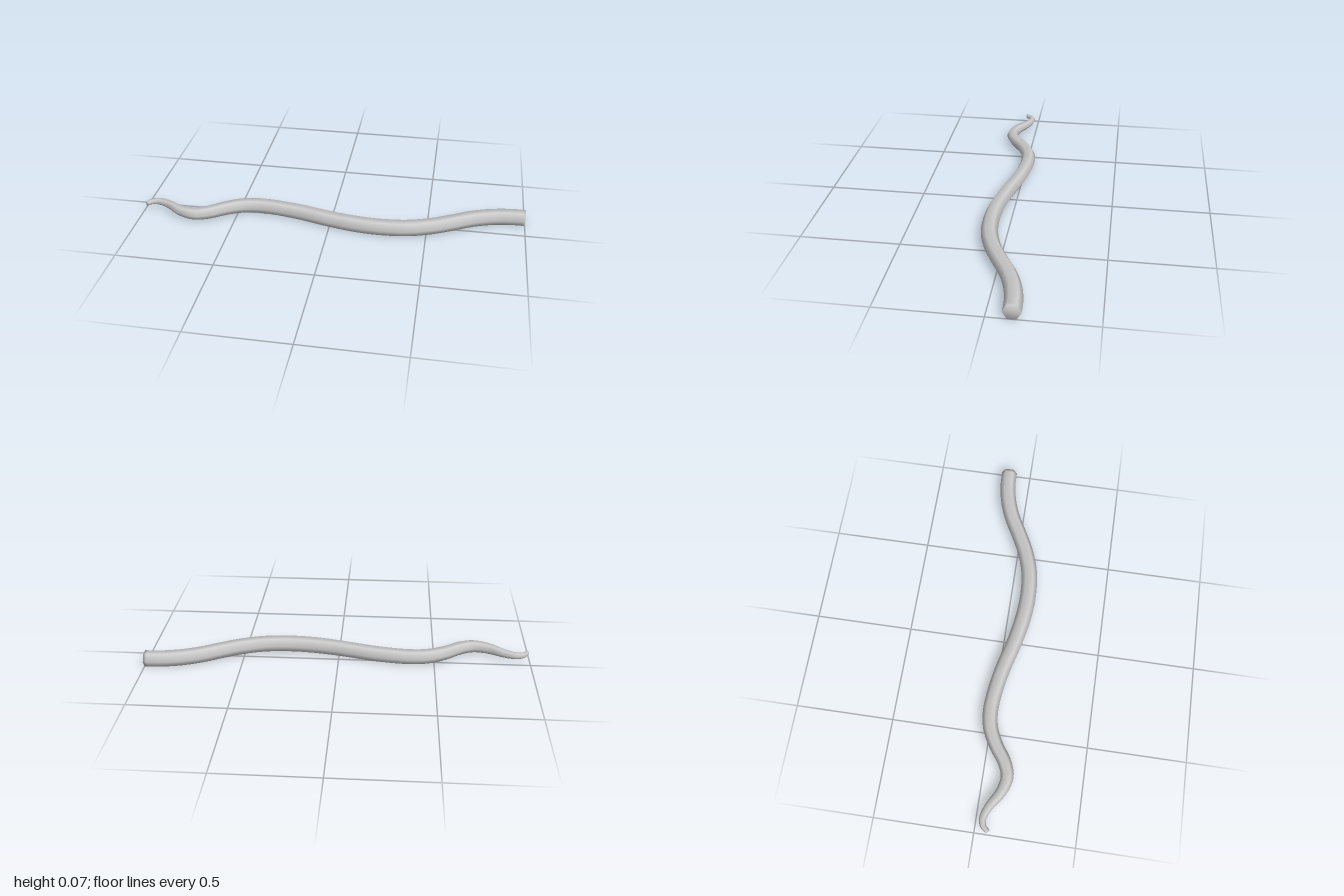
import * as THREE from 'three';

// Centre line from tip to butt: x, z, radius
const PATH = [
  [-0.988, 0.067, 0.013], [-0.965, 0.042, 0.015], [-0.93, 0.034, 0.018], [-0.87, 0.054, 0.022],
  [-0.79, 0.103, 0.028], [-0.71, 0.122, 0.032], [-0.64, 0.098, 0.034], [-0.56, 0.043, 0.036],
  [-0.47, 0.001, 0.038], [-0.37, -0.011, 0.039], [-0.2, 0.009, 0.04], [0, 0.057, 0.041],
  [0.13, 0.081, 0.042], [0.26, 0.09, 0.042], [0.4, 0.078, 0.042], [0.52, 0.041, 0.042],
  [0.62, -0.007, 0.042], [0.72, -0.06, 0.042], [0.82, -0.096, 0.042], [0.92, -0.114, 0.042], [1, -0.117, 0.042],
];
const SIDES = 6;
const STEPS = 100;
const MID_Y = 0.037;

// Six-sided tapering tube, smooth shaded, closed at both ends
function taperedTube() {
  const line = new THREE.CatmullRomCurve3(PATH.map(([x, z]) => new THREE.Vector3(x, MID_Y, z)));
  const radii = new THREE.SplineCurve(PATH.map(([x, , r]) => new THREE.Vector2(x, r)));
  const up = new THREE.Vector3(0, 1, 0);
  const pos = [], index = [];

  for (let i = 0; i <= STEPS; i++) {
    const t = i / STEPS;
    const centre = line.getPoint(t);
    const tangent = line.getTangent(t);
    if (i === STEPS) tangent.set(1, 0, 0);
    const side = tangent.cross(up).normalize();
    const r = radii.getPoint(t).y;
    for (let j = 0; j < SIDES; j++) {
      const a = (j / SIDES) * Math.PI * 2;
      const p = centre.clone().addScaledVector(side, r * Math.cos(a)).addScaledVector(up, r * Math.sin(a));
      pos.push(p.x, p.y, p.z);
      if (i === STEPS) continue;
      const k = (j + 1) % SIDES;
      const a0 = i * SIDES + j, b0 = i * SIDES + k;
      index.push(a0, a0 + SIDES, b0, b0, a0 + SIDES, b0 + SIDES);
    }
  }

  // End caps
  const tip = pos.length / 3, butt = tip + 1, last = STEPS * SIDES;
  for (const t of [0, 1]) pos.push(...line.getPoint(t).toArray());
  for (let j = 0; j < SIDES; j++) {
    const k = (j + 1) % SIDES;
    index.push(tip, j, k, butt, last + k, last + j);
  }

  // Make the winding face outwards
  const v = (n) => new THREE.Vector3().fromArray(pos, n * 3);
  const [a, b, c] = index.slice(0, 3).map(v);
  const normal = b.clone().sub(a).cross(c.clone().sub(a));
  if (normal.dot(a.clone().sub(v(tip))) < 0) index.reverse();

  const geo = new THREE.BufferGeometry();
  geo.setAttribute('position', new THREE.Float32BufferAttribute(pos, 3));
  geo.setIndex(index);
  geo.computeVertexNormals();
  return geo;
}

export function createModel() {
  const group = new THREE.Group();
  group.name = 'tentacle';
  const mesh = new THREE.Mesh(taperedTube(), new THREE.MeshStandardMaterial({ color: 0xcccccc }));
  mesh.name = 'wavyBody';
  group.add(mesh);
  return group;
}
